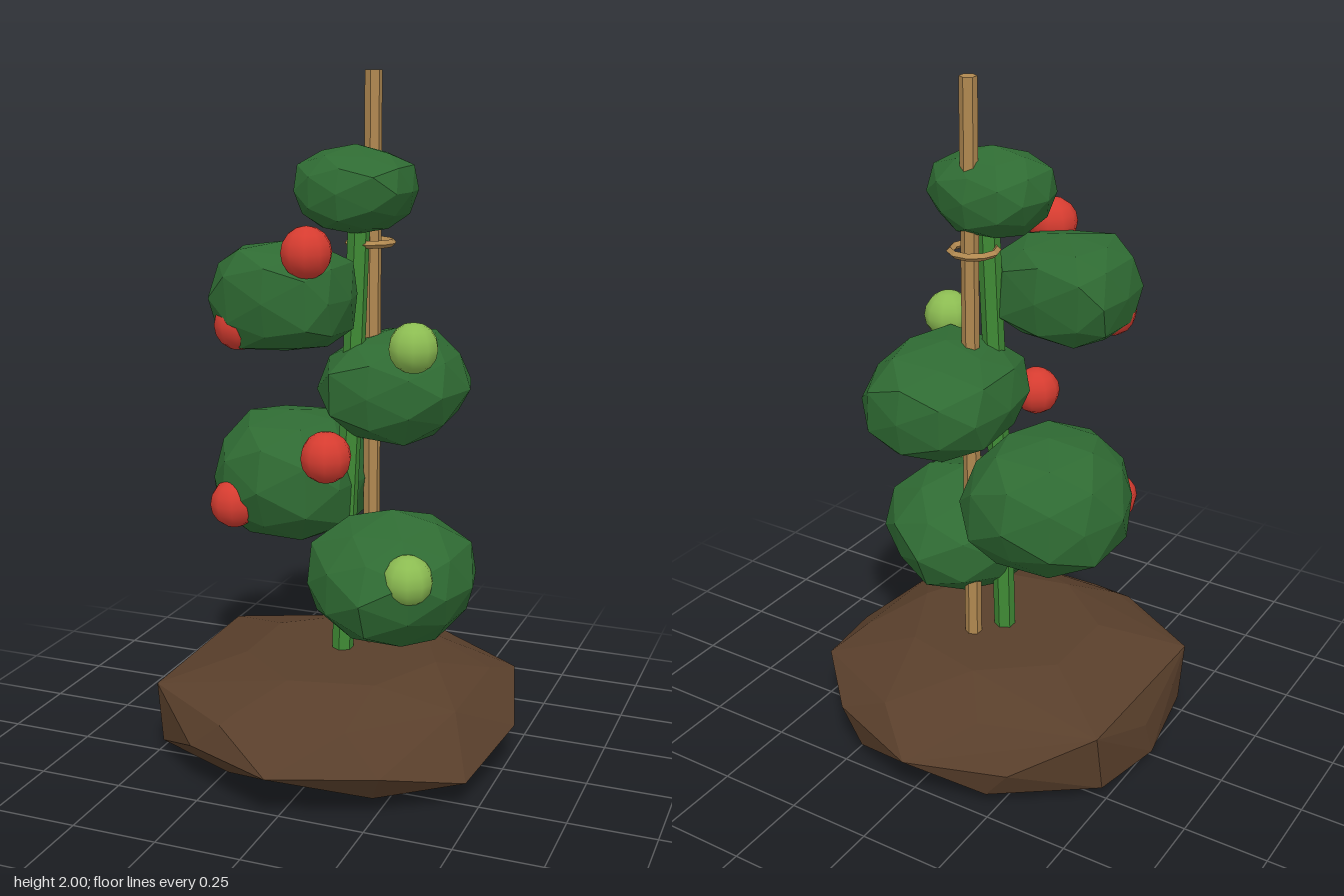
import * as THREE from 'three';
import { ConvexGeometry } from 'three/addons/geometries/ConvexGeometry.js';

const mat = (name, color, flatShading = true) => {
  const m = new THREE.MeshStandardMaterial({ color, flatShading });
  m.name = name;
  return m;
};

export function createModel() {
  const group = new THREE.Group();
  const soil = mat('soil', 0x593f2b), leaf = mat('leaf', 0x2f6b33), stemGreen = mat('stemGreen', 0x3f8a35);
  const wood = mat('wood', 0xb08850), ripe = mat('ripe', 0xd63c30, false), unripe = mat('unripe', 0x8cbc52, false);

  const add = (name, geometry, material, x = 0, y = 0, z = 0) => {
    const mesh = new THREE.Mesh(geometry, material);
    mesh.name = name;
    mesh.position.set(x, y, z);
    group.add(mesh);
    return mesh;
  };

  // Faceted mound of earth: irregular rim and shoulder, flat top and flat base
  const rim = [
    [-0.01, 0.14, -0.57], [0.28, 0.16, -0.47], [0.45, 0.2, -0.3], [0.53, 0.14, -0.01],
    [0.47, 0.08, 0.28], [0.28, 0.14, 0.46], [-0.01, 0.14, 0.57], [-0.3, 0.13, 0.435],
    [-0.2, 0.215, 0.45], [-0.49, 0.225, 0.27], [-0.53, 0.03, -0.02], [-0.49, 0.235, -0.3],
    [-0.52, 0.14, -0.05], [-0.29, 0.13, -0.46], [0.12, 0.235, -0.47],
    [-0.49, 0.04, -0.26], [-0.48, 0.04, 0.26], [0.46, 0.07, -0.22],
    [-0.22, 0.04, -0.46], [0.22, 0.04, -0.46], [0.24, 0.05, 0.4], [-0.2, 0.05, 0.4]
  ].map(p => new THREE.Vector3(...p));
  const ring = (n, y, rx, rz, turn) => Array.from({ length: n }, (_, i) => {
    const a = (i / n) * Math.PI * 2 + turn;
    return new THREE.Vector3(Math.cos(a) * rx, y, Math.sin(a) * rz);
  });
  add('soilMound', new ConvexGeometry([
    ...rim, ...ring(8, 0.24, 0.44, 0.45, 0.4), ...ring(7, 0.305, 0.29, 0.29, 0), ...ring(8, 0, 0.32, 0.32, 0.2)
  ]), soil);

  // Stake and main stem
  add('stake', new THREE.CylinderGeometry(0.025, 0.025, 1.75, 6), wood, 0.05, 1.125, -0.1);
  const path = new THREE.CatmullRomCurve3([
    [-0.01, 0.25, -0.013], [0, 0.7, -0.018], [0.02, 1.15, -0.022], [0.035, 1.6, -0.03]
  ].map(p => new THREE.Vector3(...p)));
  add('stem', new THREE.TubeGeometry(path, 8, 0.032, 6), stemGreen);

  // Ties holding the stem to the stake
  for (const y of [0.97, 1.52]) {
    add('tie', new THREE.TorusGeometry(0.065, 0.011, 4, 10), wood, 0.05, y, -0.08).rotation.x = Math.PI / 2;
  }

  // Leaf clump: roughened icosphere fitted to the half sizes; a lower power is boxier
  const clump = (seed, half, power) => {
    const g = new THREE.IcosahedronGeometry(1, 1);
    const p = g.attributes.position, v = new THREE.Vector3();
    const swell = t => Math.sign(t) * Math.abs(t) ** power;
    for (let i = 0; i < p.count; i++) {
      v.fromBufferAttribute(p, i);
      // Smooth function of position, so shared corners stay joined
      const r = 1 + 0.05 * Math.sin(v.x * 4.1 + seed * 2.3) * Math.cos(v.y * 3.7 + seed)
        + 0.03 * Math.sin(v.z * 5.3 + v.x * 2 + seed * 1.7);
      p.setXYZ(i, swell(v.x) * r, swell(v.y) * r, swell(v.z) * r);
    }
    g.center();
    g.boundingBox.getSize(v);
    g.scale(2 * half[0] / v.x, 2 * half[1] / v.y, 2 * half[2] / v.z);
    g.computeVertexNormals();
    return g;
  };
  [
    [[0.172, 0.575, 0.055], [0.242, 0.2, 0.275], 1],
    [[-0.2, 0.815, -0.07], [0.235, 0.195, 0.265], 0.88],
    [[0.115, 1.1, -0.145], [0.222, 0.165, 0.245], 0.9],
    [[-0.126, 1.385, 0.122], [0.197, 0.155, 0.175], 0.7],
    [[0.027, 1.675, -0.01], [0.172, 0.125, 0.155], 0.86]
  ].forEach(([c, half, power], i) => add('leafClump', clump(i + 1, half, power), leaf, ...c));

  // Fruit
  const fruit = new THREE.SphereGeometry(0.072, 10, 8);
  for (const c of [[-0.015, 1.525, 0.24], [0.05, 0.97, 0.265], [-0.295, 0.765, 0.125], [-0.235, 1.31, 0.2]]) {
    add('ripeFruit', fruit, ripe, ...c);
  }
  for (const c of [[0.23, 1.25, 0.06], [0.278, 0.632, 0.232]]) add('unripeFruit', fruit, unripe, ...c);

  return group;
}
